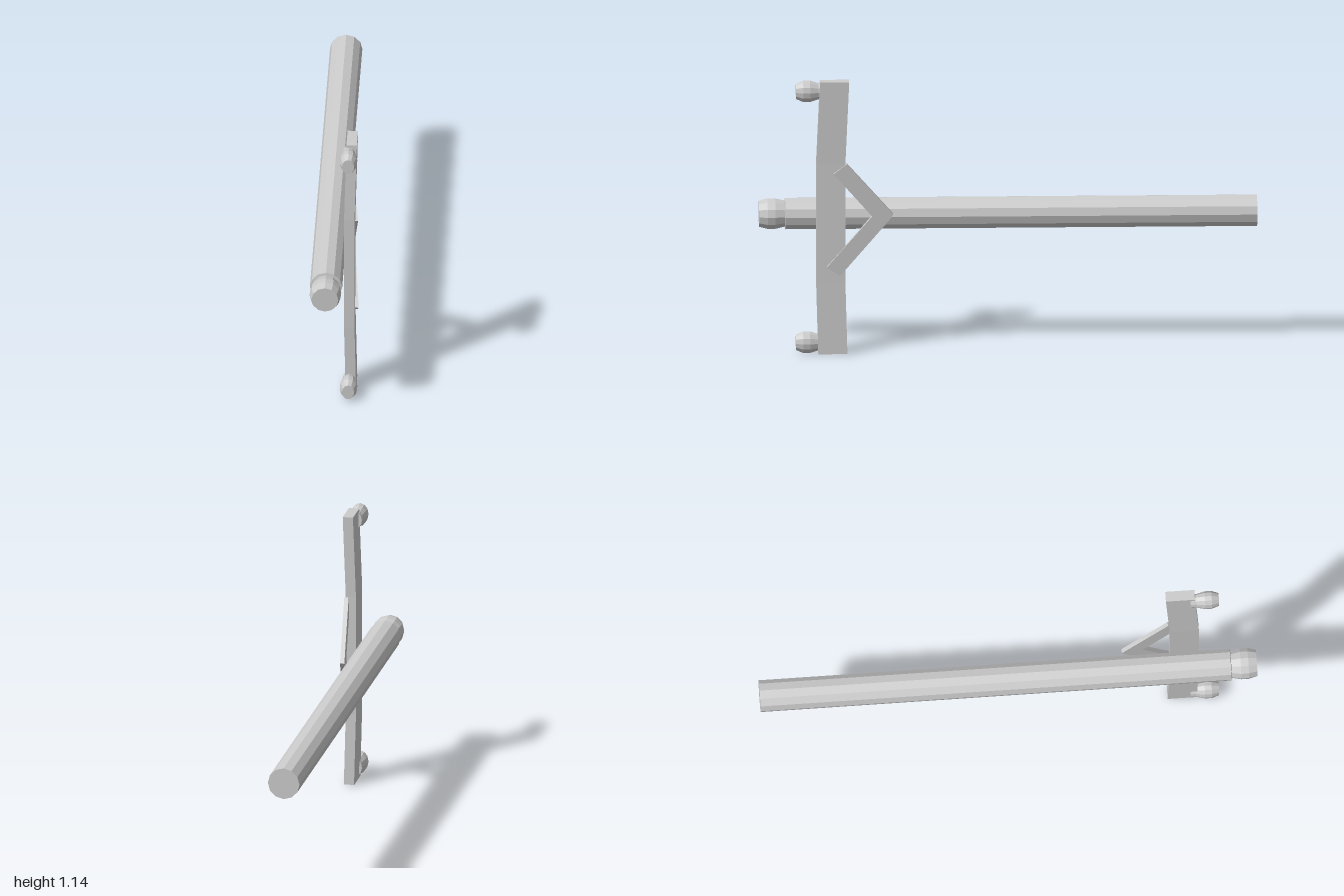
import * as THREE from 'three';

const material = new THREE.MeshStandardMaterial({ color: 0xcccccc, flatShading: true });

function addMesh(group, name, geometry) {
  const mesh = new THREE.Mesh(geometry, material);
  mesh.name = name;
  group.add(mesh);
  return mesh;
}

// Turned piece along z from [radius, z] pairs, closed at both ends
function turned(profile) {
  const points = [[0, profile[0][1]], ...profile, [0, profile.at(-1)[1]]];
  return new THREE.LatheGeometry(points.map(([r, z]) => new THREE.Vector2(r, z)), 12).rotateX(Math.PI / 2);
}

export function createModel() {
  const group = new THREE.Group();

  // Long shaft with a necked, rounded tip
  const shaft = addMesh(group, 'shaft', turned([
    [0.065, -1], [0.065, 0.895], [0.054, 0.897], [0.063, 0.935], [0.063, 0.966], [0.054, 1],
  ]));
  shaft.position.set(-0.03, 0.561, 0);

  // Upright bar, its ends bent slightly back and outward: [y, centre x, centre z]
  const sections = [[0.005, 0.064, 0.706], [0.3, 0.058, 0.714], [0.8, 0.058, 0.714], [1.14, 0.067, 0.699]];
  const bar = new THREE.BoxGeometry(0.042, 3, 0.117, 1, 3, 1);
  const p = bar.attributes.position;
  for (let i = 0; i < p.count; i++) {
    const [y, x, z] = sections[Math.round(p.getY(i) + 1.5)];
    p.setXYZ(i, p.getX(i) + x, y, p.getZ(i) + z);
  }
  addMesh(group, 'uprightBar', bar);

  // Oval knobs at both ends of the bar
  for (const [name, y] of [['upperKnob', 1.096], ['lowerKnob', 0.048]]) {
    const knob = addMesh(group, name, turned([
      [0.034, 0.74], [0.034, 0.763], [0.045, 0.797], [0.045, 0.825], [0.032, 0.854],
    ]));
    knob.scale.x = 0.77;
    knob.position.set(0.057, y, 0);
  }

  // V-shaped brace, leaning inward toward its apex: [z, y] outline
  const outline = [
    [0.703, 0.758], [0.548, 0.575], [0.73, 0.37], [0.677, 0.332],
    [0.48, 0.555], [0.463, 0.58], [0.65, 0.797],
  ];
  const shape = new THREE.Shape(outline.map(([z, y]) => new THREE.Vector2(-z, y)));
  const brace = new THREE.ExtrudeGeometry(shape, { depth: 0.018, bevelEnabled: false }).rotateY(Math.PI / 2);
  const b = brace.attributes.position;
  for (let i = 0; i < b.count; i++) b.setX(i, b.getX(i) + 0.042 + (b.getZ(i) - 0.46) * 0.125);
  addMesh(group, 'brace', brace);

  return group;
}
